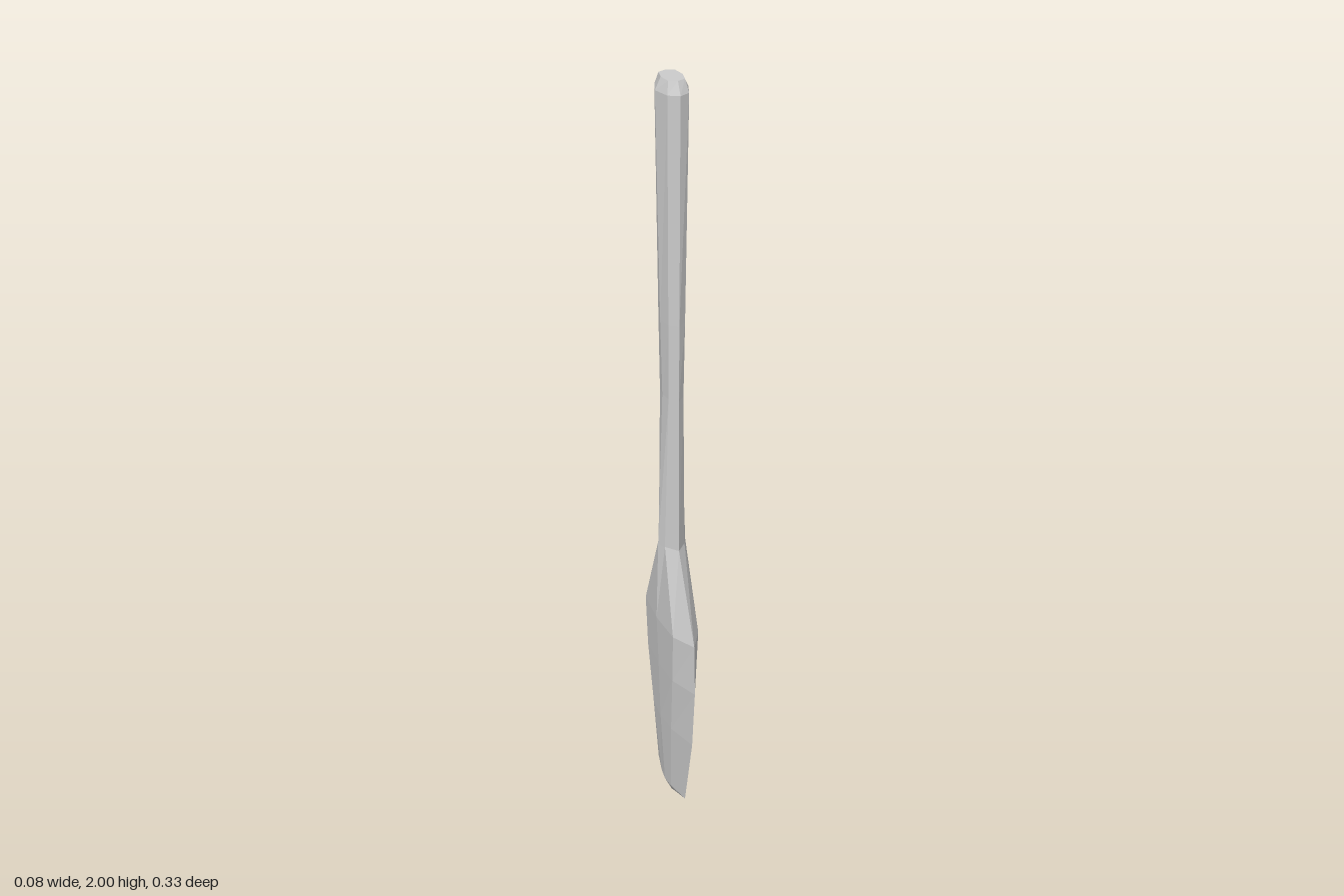
import * as THREE from 'three';

// Eight-sided cross-section: thickness x, facet corner (mx, mz), half width z.
// The centre and corner heights may dip below y to shape a pointed end.
function ring([y, x, mx, mz, z, dipCentre = 0, dipCorner = 0]) {
  const c = y - dipCentre, m = y - dipCorner;
  return [
    [x, c, 0], [mx, m, mz], [0, y, z], [-mx, m, mz],
    [-x, c, 0], [-mx, m, -mz], [0, y, -z], [mx, m, -mz],
  ];
}

// Joins the cross-sections from bottom to top, with an optional flat top
function loft(name, sections, capTop) {
  const rings = sections.map(ring);
  const pos = [];
  const tri = (a, b, c) => pos.push(...a, ...b, ...c);
  for (let r = 0; r < rings.length - 1; r++) {
    const low = rings[r], up = rings[r + 1];
    for (let i = 0; i < 8; i++) {
      const j = (i + 1) % 8;
      tri(low[i], up[i], low[j]);
      tri(low[j], up[i], up[j]);
    }
  }
  if (capTop) {
    const top = rings[rings.length - 1];
    for (let i = 0; i < 8; i++) tri([0, top[0][1], 0], top[(i + 1) % 8], top[i]);
  }
  const geometry = new THREE.BufferGeometry();
  geometry.setAttribute('position', new THREE.Float32BufferAttribute(pos, 3));
  geometry.computeVertexNormals();
  const mesh = new THREE.Mesh(
    geometry,
    new THREE.MeshStandardMaterial({ color: 0xcccccc, flatShading: true }),
  );
  mesh.name = name;
  return mesh;
}

export function createModel() {
  const group = new THREE.Group();
  group.name = 'paddle';
  const neck = [0.78, 0.036, 0.026, 0.022, 0.052];

  // Broad faceted blade, closing to a shallow wedge at the foot
  group.add(loft('blade', [
    [0.04, 0, 0, 0.035, 0.1, 0.04, 0.025],
    [0.04, 0.019, 0.015, 0.035, 0.1],
    [0.25, 0.031, 0.026, 0.065, 0.15],
    [0.42, 0.036, 0.032, 0.09, 0.167],
    [0.56, 0.041, 0.034, 0.1, 0.161],
    neck,
  ]));

  // Slim handle, waisted above the neck, with a bevelled flat end
  group.add(loft('handle', [
    neck,
    [1.2, 0.024, 0.019, 0.03, 0.05],
    [1.4, 0.029, 0.021, 0.034, 0.052],
    [1.97, 0.04, 0.026, 0.042, 0.056],
    [2, 0.026, 0.02, 0.031, 0.04],
  ], true));

  return group;
}
